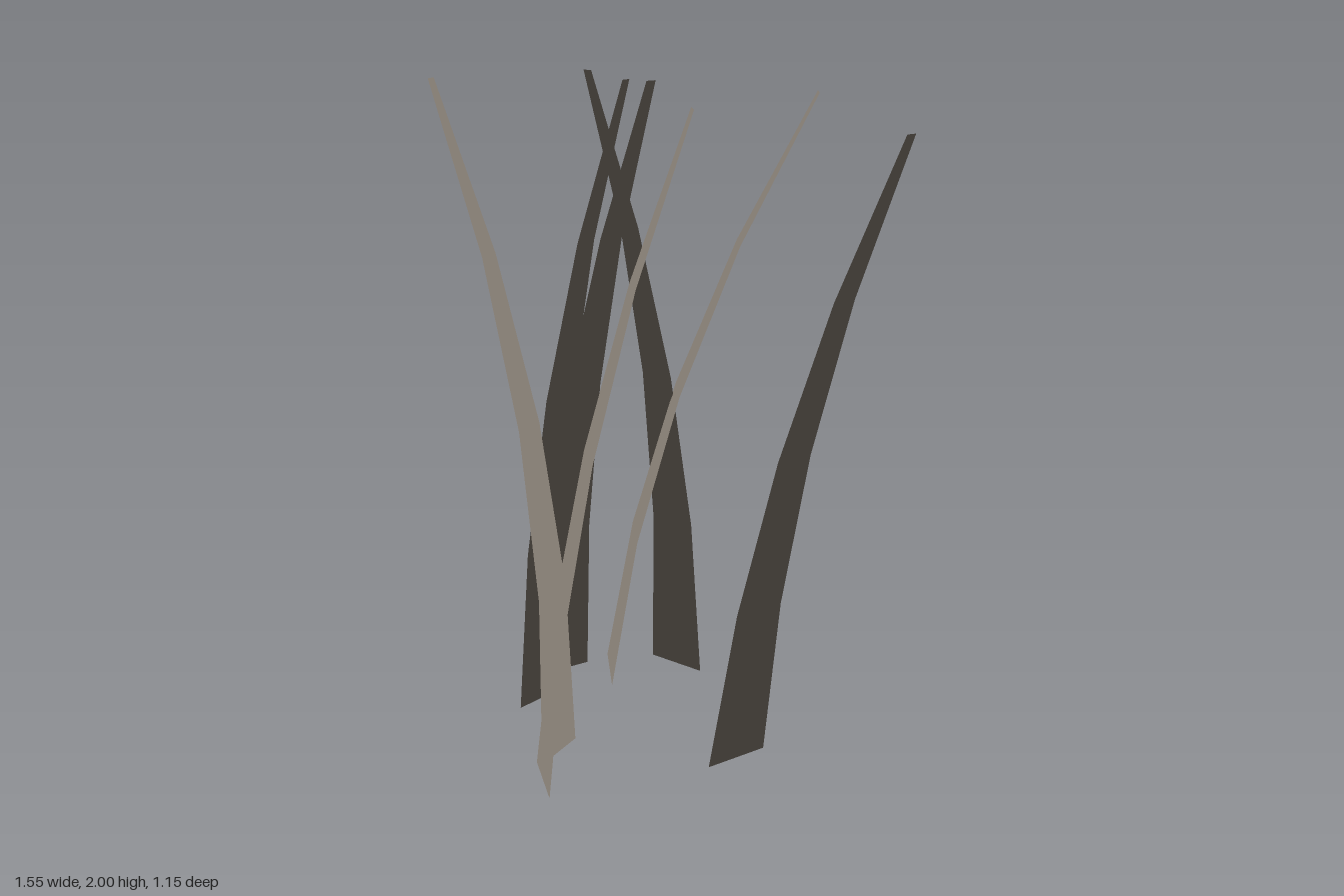
import * as THREE from 'three';

const SEGMENTS = 4;
const TIP_SCALE = 0.15;

// base, mid and tip of the centre line, and the full width vector at the base
const BLADES = [
  { name: 'leftBlade', base: [0.145, 0.013, 0.009], mid: [0.37, 0.98, 0.02], tip: [0.773, 1.92, 0.045], width: [-0.02, 0, 0.217] },
  { name: 'frontBlade', base: [-0.152, 0.013, 0.513], mid: [-0.003, 1.0, 0.456], tip: [0.218, 1.96, 0.27], width: [0.182, -0.02, 0.118] },
  { name: 'frontRightBlade', base: [-0.27, 0.013, 0.34], mid: [-0.333, 1.01, 0.375], tip: [-0.59, 2.0, 0.487], width: [0.073, 0, 0.203] },
  { name: 'backBlade', base: [-0.525, 0.013, -0.428], mid: [-0.52, 1.01, -0.338], tip: [-0.512, 1.99, -0.045], width: [0.217, 0, 0] },
  { name: 'rightBlade', base: [-0.622, 0.013, 0.083], mid: [-0.53, 1.01, 0.073], tip: [-0.267, 1.985, 0.037], width: [0.029, 0, 0.214] },
  { name: 'outerRightBlade', base: [-0.761, 0.013, -0.122], mid: [-0.612, 1.0, -0.107], tip: [-0.262, 1.975, -0.06], width: [-0.033, 0, 0.217] },
  { name: 'backRightBlade', base: [-0.638, 0.015, -0.23], mid: [-0.406, 0.985, -0.315], tip: [-0.056, 1.92, -0.565], width: [0.167, -0.025, 0.142] },
];

// A flat tapering ribbon that bends along a parabola through base, mid and tip
function bladeGeometry({ base, mid, tip, width }) {
  const positions = [], normals = [], indices = [];
  const [p0, p1, p2, w] = [base, mid, tip, width].map((p) => new THREE.Vector3(...p));
  // order the two edges so that the front of the ribbon faces up
  const rise = p2.clone().sub(p0);
  const edges = w.clone().cross(rise).y > 0 ? [-0.5, 0.5] : [0.5, -0.5];
  for (let i = 0; i <= SEGMENTS; i++) {
    const t = i / SEGMENTS;
    const centre = new THREE.Vector3()
      .addScaledVector(p0, (1 - t) * (1 - 2 * t))
      .addScaledVector(p1, 4 * t * (1 - t))
      .addScaledVector(p2, t * (2 * t - 1));
    const scale = THREE.MathUtils.lerp(1, TIP_SCALE, t);
    for (const edge of edges) {
      positions.push(...centre.clone().addScaledVector(w, edge * scale).toArray());
      normals.push(0, 1, 0); // foliage is shaded evenly from above
    }
    if (i < SEGMENTS) {
      const a = 2 * i;
      indices.push(a, a + 1, a + 3, a, a + 3, a + 2);
    }
  }
  const geometry = new THREE.BufferGeometry();
  geometry.setAttribute('position', new THREE.Float32BufferAttribute(positions, 3));
  geometry.setAttribute('normal', new THREE.Float32BufferAttribute(normals, 3));
  geometry.setIndex(indices);
  return geometry;
}

export function createModel() {
  const group = new THREE.Group();
  group.name = 'grassTuft';
  const dryGrass = new THREE.MeshStandardMaterial({ color: 0x847c72, side: THREE.DoubleSide });
  dryGrass.name = 'dryGrass';
  for (const blade of BLADES) {
    const mesh = new THREE.Mesh(bladeGeometry(blade), dryGrass);
    mesh.name = blade.name;
    group.add(mesh);
  }
  return group;
}
